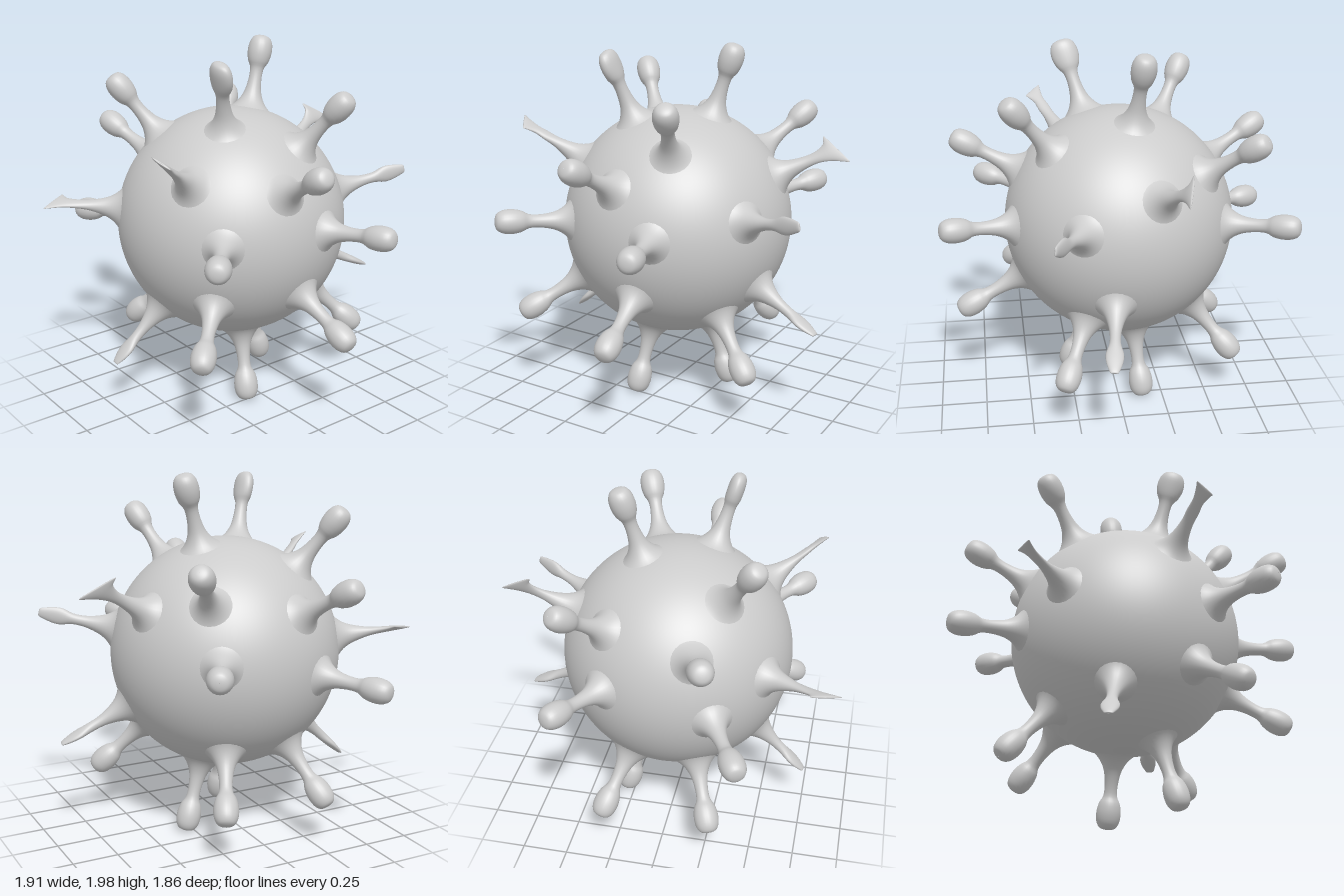
import * as THREE from 'three';

const CENTER = new THREE.Vector3(-0.035, 1.005, 0);
const RADIUS = 0.635;
const SIDES = 24;

// Profile rows: [distance from centre, half width, half thickness, slant share]
const FLARE = [[0.612, 0.13, 0.13, 0], [0.635, 0.098, 0.098, 0], [0.67, 0.069, 0.069, 0], [0.72, 0.047, 0.047, 0]];
const KNOB = [...FLARE,
  [0.79, 0.036, 0.036, 0], [0.85, 0.038, 0.038, 0], [0.89, 0.057, 0.057, 0], [0.94, 0.067, 0.067, 0],
  [0.99, 0.063, 0.063, 0], [1.022, 0.046, 0.046, 0], [1.033, 0.022, 0.022, 0], [1.035, 0.001, 0.001, 0]];
const FLAT_KNOB = KNOB.map(([d, w, t, s]) => {
  const k = THREE.MathUtils.smoothstep(d, 0.8, 0.93);
  return [d, w * (1 + 0.13 * k), t * (1 - 0.33 * k), s];
});
const fan = (end, half) => [...FLARE,
  [0.8, 0.033, 0.026, 0], [0.87, 0.034, 0.018, 0.05], [0.93, half * 0.6, 0.014, 0.3],
  [end - 0.02, half * 0.9, 0.01, 0.8], [end, half, 0.005, 1], [end, 0.001, 0.001, 0]];
const leaf = (end, half) => [...FLARE,
  [0.79, 0.031, 0.03, 0], [0.86, 0.03, 0.026, 0], [0.92, half, 0.022, 0],
  [0.97, half * 0.95, 0.018, 0], [end - 0.015, half * 0.6, 0.011, 0], [end, half * 0.4, 0.005, 0], [end, 0.001, 0.001, 0]];

// Lofts rings along a radial axis; "slant" skews the rings along that axis
function loft(dir, across, rows, slant = 0) {
  const u = across.clone().addScaledVector(dir, -across.dot(dir)).normalize();
  const v = new THREE.Vector3().crossVectors(dir, u);
  const fine = [];
  const pick = (i) => rows[Math.min(Math.max(i, 0), rows.length - 1)];
  for (let i = 0; i < rows.length - 1; i++) {
    for (let k = 0; k < 3; k++) {
      const t = k / 3;
      fine.push(rows[i].map((p1, c) => {
        const p0 = pick(i - 1)[c], p2 = pick(i + 1)[c], p3 = pick(i + 2)[c];
        return 0.5 * (2 * p1 + (p2 - p0) * t + (2 * p0 - 5 * p1 + 4 * p2 - p3) * t * t
          + (3 * p1 - p0 - 3 * p2 + p3) * t * t * t);
      }));
    }
  }
  fine.push(rows[rows.length - 1]);
  const positions = [], index = [];
  fine.forEach(([d, w, t, s], i) => {
    for (let j = 0; j < SIDES; j++) {
      const a = (j / SIDES) * Math.PI * 2, c = Math.cos(a);
      const p = dir.clone().multiplyScalar(d + c * slant * s)
        .addScaledVector(u, c * Math.max(w, 0.001)).addScaledVector(v, Math.sin(a) * Math.max(t, 0.001));
      positions.push(p.x, p.y, p.z);
      if (i < fine.length - 1) {
        const n = (j + 1) % SIDES, q = i * SIDES;
        index.push(q + j, q + n, q + SIDES + j, q + n, q + SIDES + n, q + SIDES + j);
      }
    }
  });
  const geometry = new THREE.BufferGeometry();
  geometry.setAttribute('position', new THREE.Float32BufferAttribute(positions, 3));
  geometry.setIndex(index);
  geometry.computeVertexNormals();
  return geometry;
}

export function createModel() {
  const model = new THREE.Group();
  model.name = 'spikedBall';
  model.position.copy(CENTER);
  const material = new THREE.MeshStandardMaterial({ color: 0xcccccc });
  const thin = new THREE.MeshStandardMaterial({ color: 0xcccccc, side: THREE.DoubleSide });
  const add = (name, geometry, mat = material) => {
    const mesh = new THREE.Mesh(geometry, mat);
    mesh.name = name;
    model.add(mesh);
  };
  const local = (p) => new THREE.Vector3(...p).sub(CENTER);

  add('ball', new THREE.SphereGeometry(RADIUS, 96, 64));

  // Round-headed spikes, by head position
  const knobs = [
    [-0.13, 1.94, -0.28], [0.56, 1.74, -0.28], [-0.45, 1.76, 0.46], [-0.70, 1.55, -0.47],
    [-0.87, 1.45, 0.28], [-0.89, 1.09, -0.47], [-0.89, 0.92, 0.45], [-0.63, 0.29, 0.28],
    [-0.63, 0.29, -0.30], [0.82, 1.46, 0.10], [0.88, 1.09, -0.28], [0.83, 0.55, -0.09],
    [0.55, 0.53, 0.62], [0.70, 1.08, 0.63], [0.31, 0.35, -0.60], [-0.13, 0.08, -0.28], [0.24, 0.08, 0.10],
  ];
  for (const p of knobs) {
    const dir = local(p).normalize();
    const across = Math.abs(dir.y) > 0.8 ? new THREE.Vector3(1, 0, 0) : new THREE.Vector3(0, 1, 0);
    add('knobSpike', loft(dir, across, KNOB));
  }
  add('flatKnobSpike', loft(local([0.24, 1.92, 0.27]).normalize(), new THREE.Vector3(1, 0, 0), FLAT_KNOB));

  // Flattened spikes with a flared slanted end, by the two end corners
  const fans = [
    [[-0.56, 1.16, 0.78], [-0.49, 1.13, 0.93]],
    [[0.35, 1.58, 0.76], [0.43, 1.53, 0.71]],
    [[-0.30, 1.51, -0.75], [-0.25, 1.41, -0.92]],
  ];
  for (const [a, b] of fans) {
    const mid = local(a).add(local(b)).multiplyScalar(0.5);
    const half = local(b).sub(local(a)).multiplyScalar(0.5);
    const dir = mid.clone().normalize();
    const slant = half.dot(dir);
    const width = Math.sqrt(half.lengthSq() - slant * slant);
    add('fanSpike', loft(dir, half, fan(mid.length(), width), slant), thin);
  }

  // Flattened spikes with a leaf-shaped end: tip, width direction
  const leaves = [
    [[-0.10, 0.30, 0.75], [1, 0, 0]],
    [[0.39, 1.23, -0.93], [0, 1, 0]],
    [[0.11, 0.55, -0.92], [1, 0, 0]],
  ];
  for (const [tip, across] of leaves) {
    const end = local(tip);
    add('leafSpike', loft(end.clone().normalize(), new THREE.Vector3(...across), leaf(end.length(), 0.046)), thin);
  }
  const root = new THREE.Group();
  root.name = 'model';
  root.add(model);
  return root;
}
